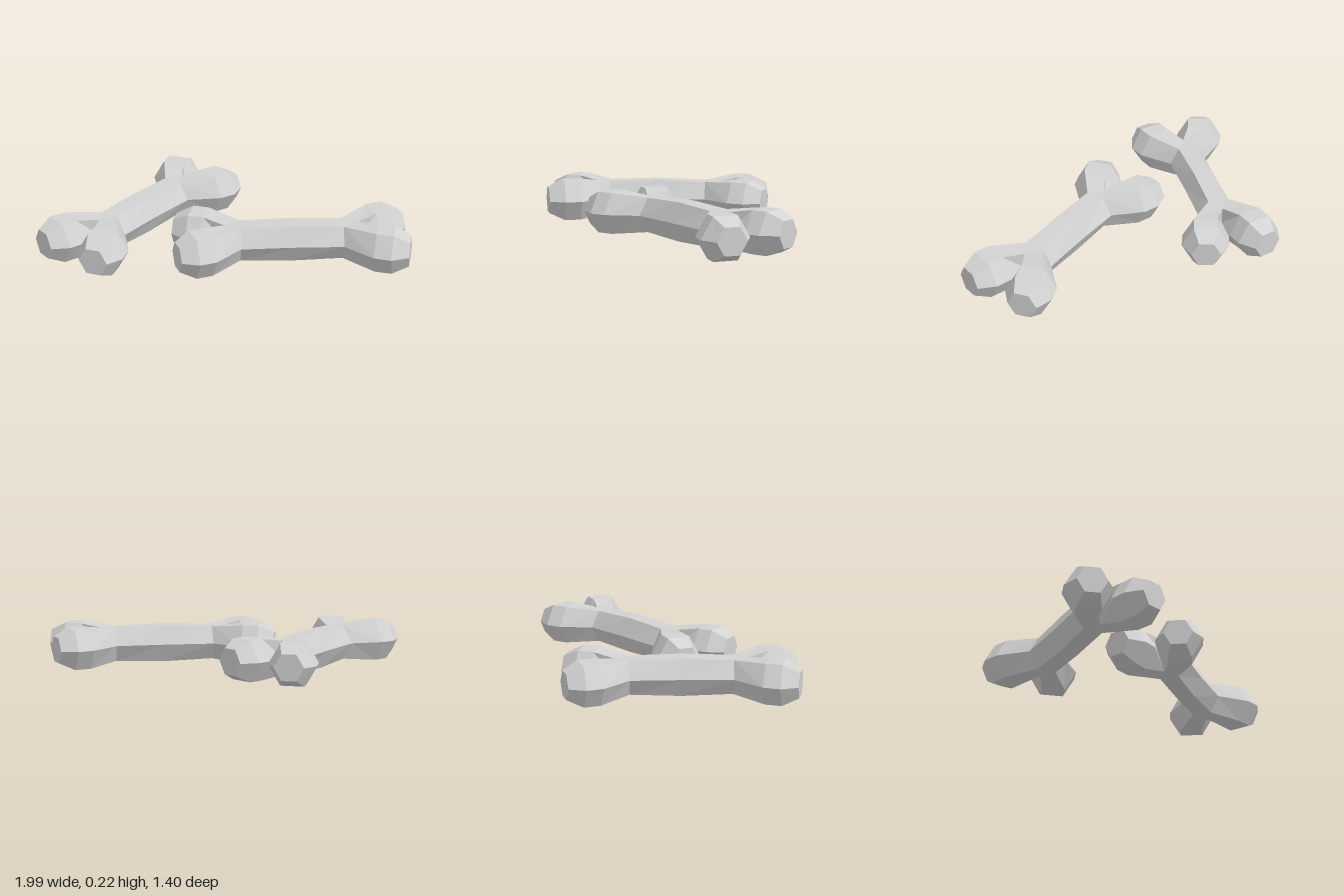
import * as THREE from 'three';

const bone = new THREE.MeshStandardMaterial({ color: 0xd2d2d2 });
bone.name = 'bone grey';

const SHAFT_END = 0.275, CROTCH = 0.36, W = 0.107, H = 0.093;

// Six-sided ring facing along x, turned by tilt about y
function hexRing(x, z, halfWidth, halfHeight, tilt = 0) {
  return Array.from({ length: 6 }, (_, k) => {
    const a = (k * Math.PI) / 3;
    const w = Math.cos(a) * halfWidth;
    const y = (Math.sin(a) / Math.sin(Math.PI / 3)) * halfHeight;
    return [x + w * Math.sin(tilt), y, z + w * Math.cos(tilt)];
  });
}

// Triangles joining successive rings
function loft(rings) {
  const tris = [];
  for (let i = 0; i + 1 < rings.length; i++) {
    const a = rings[i], b = rings[i + 1];
    for (let k = 0; k < 6; k++) {
      const n = (k + 1) % 6;
      tris.push([a[k], b[k], b[n]], [a[k], b[n], a[n]]);
    }
  }
  return tris;
}

// Faceted mesh; sx and sz mirror the triangles
function facetMesh(name, tris, sx = 1, sz = 1) {
  const flip = sx * sz < 0;
  const pos = tris.flatMap(([a, b, c]) => (flip ? [a, c, b] : [a, b, c]))
    .flatMap(([x, y, z]) => [x * sx, y, z * sz]);
  const g = new THREE.BufferGeometry();
  g.setAttribute('position', new THREE.Float32BufferAttribute(pos, 3));
  g.computeVertexNormals();
  const mesh = new THREE.Mesh(g, bone);
  mesh.name = name;
  return mesh;
}

// One knuckle: grows from half of the shaft's end and splays outward
function knuckleTris() {
  const base = [
    [CROTCH, 0, 0], [CROTCH, H, 0], [SHAFT_END, H, -W / 2],
    [SHAFT_END, 0, -W], [SHAFT_END, -H, -W / 2], [CROTCH, -H, 0],
  ];
  const tip = hexRing(0.616, -0.175, 0.08, 0.07, 0.29);
  const tris = loft([
    base,
    hexRing(0.448, -0.124, 0.127, 0.111, 0.31),
    hexRing(0.532, -0.151, 0.13, 0.111, 0.27),
    tip,
  ]);
  // end cap
  for (let k = 1; k < 5; k++) tris.push([tip[0], tip[k + 1], tip[k]]);
  // wedge carrying the shaft's flat top and bottom to the crotch
  for (const s of [1, -1]) {
    const p = [SHAFT_END, s * H, -W / 2], q = [SHAFT_END, s * H, 0], r = [CROTCH, s * H, 0];
    tris.push(s > 0 ? [p, q, r] : [p, r, q]);
  }
  return tris;
}

function makeBone(name, x, z, turn) {
  const group = new THREE.Group();
  group.name = name;
  group.add(facetMesh('shaft', loft([
    hexRing(-SHAFT_END, 0, W, H),
    hexRing(0, 0, 0.101, 0.103),
    hexRing(SHAFT_END, 0, W, H),
  ])));
  const tris = knuckleTris();
  for (const sx of [1, -1])
    for (const sz of [1, -1]) group.add(facetMesh('knuckle', tris, sx, sz));
  group.position.set(x, 0.111, z);
  group.rotation.y = turn;
  return group;
}

export function createModel() {
  const model = new THREE.Group();
  model.name = 'bones';
  model.add(makeBone('frontBone', 0.352, 0.357, -0.124));
  model.add(makeBone('backBone', -0.39, -0.115, 0.75));
  return model;
}
